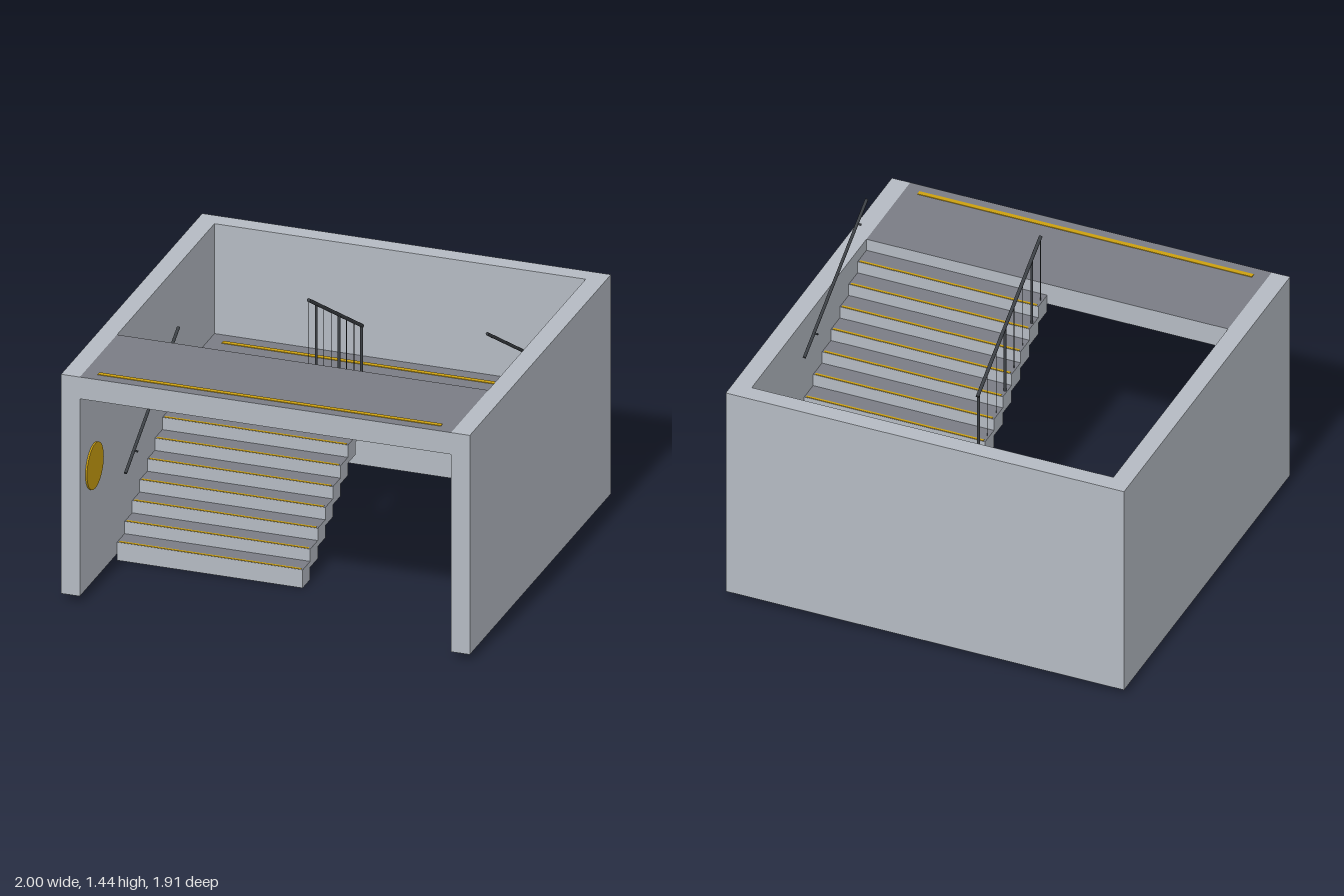
import * as THREE from 'three';

const mat = (name, color) => {
  const m = new THREE.MeshStandardMaterial({ color });
  m.name = name;
  return m;
};

export function createModel() {
  const model = new THREE.Group();
  model.name = 'stairwell';
  const concrete = mat('paleConcrete', 0xb4bac2);
  const tread = mat('darkTread', 0x7a7c84);
  const yellow = mat('safetyYellow', 0xcca010);
  const steel = mat('darkSteel', 0x3c4045);
  const darkTop = [concrete, concrete, tread, concrete, concrete, concrete];

  // Box given by its minimum and maximum corners
  const box = (name, material, [x0, y0, z0], [x1, y1, z1], parent = model) => {
    const mesh = new THREE.Mesh(new THREE.BoxGeometry(x1 - x0, y1 - y0, z1 - z0), material);
    mesh.position.set((x0 + x1) / 2, (y0 + y1) / 2, (z0 + z1) / 2);
    mesh.name = name;
    parent.add(mesh);
  };
  // Round bar between two points
  const bar = (name, a, b, radius, parent) => {
    const from = new THREE.Vector3(...a), to = new THREE.Vector3(...b);
    const dir = to.clone().sub(from);
    const mesh = new THREE.Mesh(new THREE.CylinderGeometry(radius, radius, dir.length(), 8), steel);
    mesh.position.copy(from).add(to).multiplyScalar(0.5);
    mesh.quaternion.setFromUnitVectors(new THREE.Vector3(0, 1, 0), dir.normalize());
    mesh.name = name;
    parent.add(mesh);
  };

  const W = 0.908, D = 0.953, TOP = 1.14, MID = 0.585;
  const FRONT = 0.45, BACK = -0.365, STEPS = 8;
  const run = (FRONT - BACK) / STEPS, rise = (TOP - MID) / (STEPS + 1), thick = 0.0915;

  // Walls on three sides
  box('leftWall', concrete, [W, 0.033, -D], [1, TOP, D]);
  box('rightWall', concrete, [-1, 0.033, -D], [-W, TOP, D]);
  box('backWall', concrete, [-W, 0.033, -D], [W, TOP, -0.865]);

  // Landings with warning strips
  box('upperLanding', darkTop, [-W, 1.03, FRONT], [W, TOP, D]);
  box('middleLanding', darkTop, [-W, MID - thick, -0.865], [W, MID, BACK]);
  box('upperLandingStrip', yellow, [-0.84, TOP - 0.002, 0.878], [0.84, TOP + 0.003, 0.902]);
  box('middleLandingStrip', yellow, [-0.84, MID - 0.002, -0.797], [0.84, MID + 0.003, -0.773]);

  // Two opposite flights of steps with yellow nosings
  const lower = new THREE.Group(), upper = new THREE.Group();
  lower.name = 'lowerFlight';
  upper.name = 'upperFlight';
  model.add(lower, upper);
  for (let i = 0; i < STEPS; i++) {
    const yL = MID - (STEPS - i) * rise, zL = FRONT - i * run;
    box('step', darkTop, [-W, yL - thick, zL - run], [0, yL, zL], lower);
    box('nosing', yellow, [-0.9, yL - 0.002, zL - 0.014], [-0.01, yL + 0.002, zL - 0.002], lower);
    const yU = MID + (i + 1) * rise, zU = BACK + i * run;
    box('step', darkTop, [0, yU - thick, zU], [W, yU, zU + run], upper);
    box('nosing', yellow, [0.01, yU - 0.002, zU + 0.002], [0.9, yU + 0.002, zU + 0.014], upper);
  }

  // Central railing: main posts every third step, thin balusters between
  const slope = rise / run, cx = 0.011;
  const railY = z => 1.435 + (z - 0.4) * slope;
  const railing = new THREE.Group();
  railing.name = 'centralRailing';
  model.add(railing);
  bar('handrail', [cx, railY(0.4), 0.4], [cx, railY(-0.325), -0.325], 0.009, railing);
  for (let i = 0; i < STEPS; i++) {
    const z = BACK + (i + 0.5) * run, y = MID + (i + 1) * rise;
    const main = i % 3 === 0;
    bar(main ? 'post' : 'baluster', [cx, y, z], [cx, railY(z), z], main ? 0.007 : 0.0018, railing);
  }

  // Sloping wall handrails with small brackets
  const wallRail = (name, side, yFront, sign) => {
    const group = new THREE.Group();
    group.name = name;
    model.add(group);
    const x = side * 0.885;
    const y = z => yFront + sign * (z - 0.4) * slope;
    bar('handrail', [x, y(0.4), 0.4], [x, y(-0.315), -0.315], 0.008, group);
    for (const z of [-0.205, 0.29]) {
      bar('bracket', [x, y(z), z], [side * 0.864, y(z), z], 0.005, group);
    }
  };
  wallRail('upperWallRail', 1, 1.4, 1);
  wallRail('lowerWallRail', -1, 0.422, -1);

  // Round marker plate on the wall beside the lower flight
  const disc = new THREE.Mesh(new THREE.CylinderGeometry(0.113, 0.113, 0.008, 32), yellow);
  disc.rotation.z = Math.PI / 2;
  disc.position.set(-W + 0.004, 0.613, 0.765);
  disc.name = 'wallMarker';
  model.add(disc);

  return model;
}
